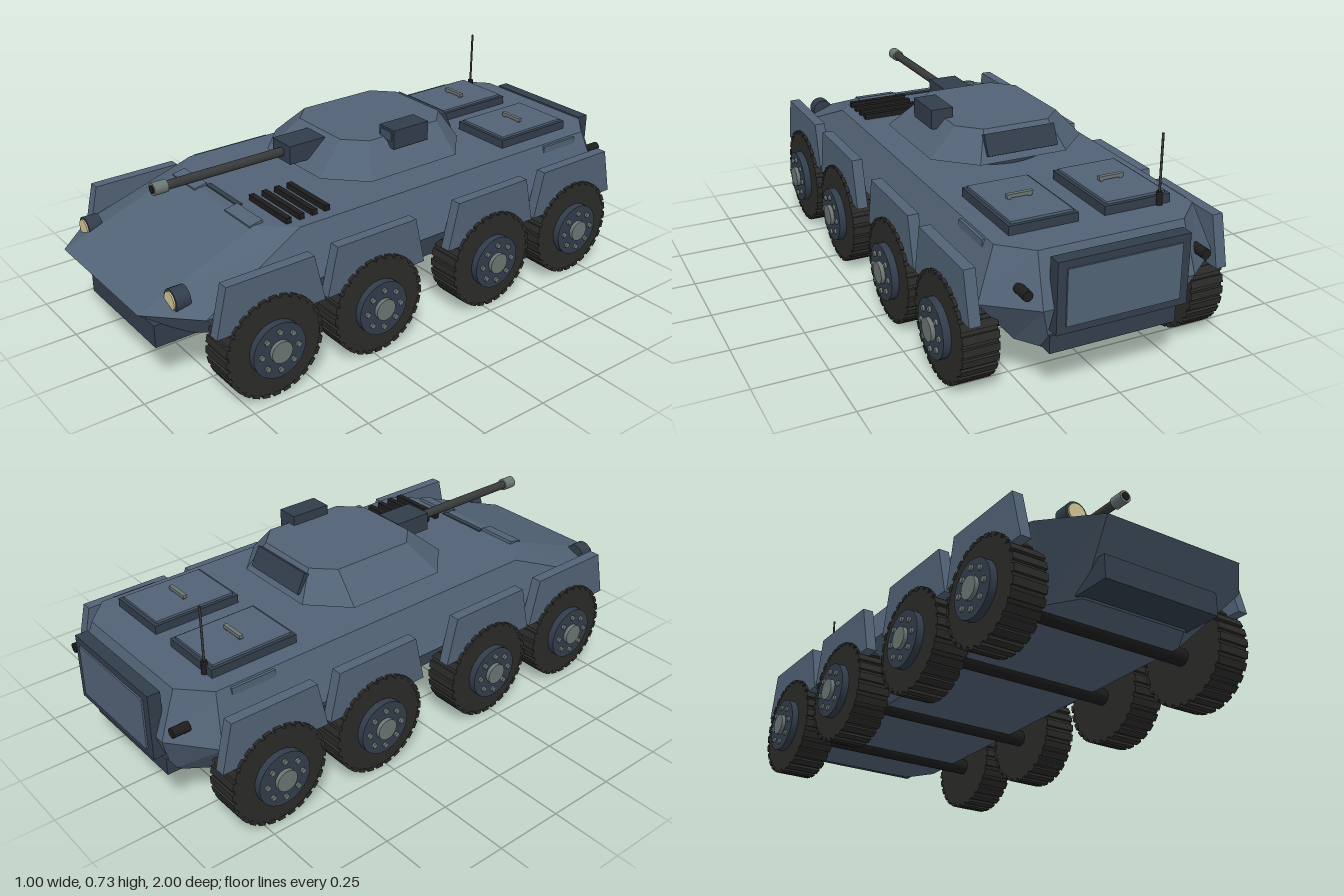
import * as THREE from 'three';

const mat = (name, color) => {
  const m = new THREE.MeshStandardMaterial({ color });
  m.name = name;
  return m;
};

// Eight-sided loop seen from above: half width, front/back ends, width of the ends, chamfer lengths
const octagon = (y, hw, zf, zb, cx, cf, cb) => [
  [hw, y, zf - cf], [hw, y, zb + cb], [cx, y, zb], [-cx, y, zb],
  [-hw, y, zb + cb], [-hw, y, zf - cf], [-cx, y, zf], [cx, y, zf],
];

// Faceted solid through a stack of loops, lowest first
function loft(loops) {
  const pos = [];
  const tri = (...pts) => pts.forEach((p) => pos.push(...p));
  const n = loops[0].length;
  for (let k = 0; k < loops.length - 1; k++) {
    const a = loops[k], b = loops[k + 1];
    for (let i = 0; i < n; i++) {
      const j = (i + 1) % n;
      tri(a[i], a[j], b[j]);
      tri(a[i], b[j], b[i]);
    }
  }
  const low = loops[0], top = loops[loops.length - 1];
  for (let i = 1; i < n - 1; i++) {
    tri(top[0], top[i], top[i + 1]);
    tri(low[0], low[i + 1], low[i]);
  }
  const g = new THREE.BufferGeometry();
  g.setAttribute('position', new THREE.Float32BufferAttribute(pos, 3));
  g.computeVertexNormals();
  return g;
}

export function createModel() {
  const armour = mat('armour blue grey', 0x526376);
  const dark = mat('dark blue grey', 0x323d4b);
  const rubber = mat('tyre rubber', 0x2b2b2a);
  const black = mat('black metal', 0x1d1d1e);
  const gun = mat('gun metal', 0x38393a);
  const steel = mat('steel', 0x6c7674);
  const lens = mat('lamp glass', 0xd2c795);
  const glass = mat('sight glass', 0x3f5266);

  const root = new THREE.Group();
  root.name = 'armouredCarrier';
  const add = (parent, name, geo, material, x = 0, y = 0, z = 0) => {
    const m = new THREE.Mesh(geo, material);
    m.name = name;
    m.position.set(x, y, z);
    parent.add(m);
    return m;
  };
  const box = (parent, name, material, w, h, d, x, y, z) =>
    add(parent, name, new THREE.BoxGeometry(w, h, d), material, x, y, z);
  const cylX = (r, len, n = 24) => new THREE.CylinderGeometry(r, r, len, n).rotateZ(-Math.PI / 2);
  const cylZ = (r, len, n = 20) => new THREE.CylinderGeometry(r, r, len, n).rotateX(Math.PI / 2);

  // Hull
  add(root, 'hull', loft([
    octagon(0.16, 0.27, 0.80, -0.92, 0.2, 0.1, 0.1),
    octagon(0.33, 0.41, 1.0, -0.98, 0.26, 0.15, 0.12),
    octagon(0.495, 0.345, 0.57, -0.92, 0.25, 0.11, 0.09),
  ]), armour);
  box(root, 'frontBumper', dark, 0.44, 0.08, 0.14, 0, 0.205, 0.86);
  box(root, 'rearBumper', dark, 0.44, 0.06, 0.06, 0, 0.195, -0.92);

  // Rear ramp
  box(root, 'rampFrame', dark, 0.45, 0.235, 0.045, 0, 0.367, -0.972);
  box(root, 'rampPanel', armour, 0.39, 0.185, 0.006, 0, 0.367, -0.997);

  // Wheels
  const lugs = 28;
  function wheel(s, z) {
    const w = new THREE.Group();
    w.name = 'wheel';
    w.position.set(s * 0.4, 0.18, z);
    add(w, 'tyre', cylX(0.172, 0.12, 36), rubber);
    for (let i = 0; i < lugs; i++) {
      const a = (i / lugs) * Math.PI * 2;
      const lug = box(w, 'treadLug', rubber, 0.122, 0.014, 0.026, 0, Math.cos(a) * 0.173, Math.sin(a) * 0.173);
      lug.rotation.x = a;
    }
    add(w, 'rim', cylX(0.097, 0.03), dark, s * 0.07);
    add(w, 'hubCap', cylX(0.038, 0.02), steel, s * 0.089);
    for (let i = 0; i < 8; i++) {
      const a = (i / 8) * Math.PI * 2;
      add(w, 'wheelBolt', cylX(0.01, 0.01, 6), steel, s * 0.088, Math.cos(a) * 0.068, Math.sin(a) * 0.068);
    }
    root.add(w);
  }

  // Trapezoid side guard above each wheel
  const guard = new THREE.Shape([[-0.2, 0.275], [0.2, 0.275], [0.16, 0.445], [-0.16, 0.445]]
    .map(([u, v]) => new THREE.Vector2(u, v)));
  const guardGeo = new THREE.ExtrudeGeometry(guard, { depth: 0.038, bevelEnabled: false })
    .rotateY(-Math.PI / 2).translate(0.019, 0, 0);

  for (const z of [0.64, 0.23, -0.28, -0.69]) {
    add(root, 'axle', cylX(0.03, 0.7, 16), black, 0, 0.167, z);
    for (const s of [1, -1]) {
      wheel(s, z);
      add(root, 'wheelGuard', guardGeo, armour, s * 0.431, 0, z);
    }
  }

  for (const s of [1, -1]) {
    // Head lamps, tail lamps and vision blocks
    add(root, 'headLampHousing', cylZ(0.039, 0.05), dark, s * 0.297, 0.365, 0.88);
    add(root, 'headLampLens', cylZ(0.031, 0.006), lens, s * 0.297, 0.365, 0.907);
    add(root, 'tailLamp', cylZ(0.017, 0.06, 12), black, s * 0.305, 0.385, -0.94);
    const visor = box(root, 'frontVisor', armour, 0.15, 0.018, 0.05, s * 0.172, 0.492, 0.56);
    visor.rotation.x = 0.2;
    box(root, 'sideVisionBlock', armour, 0.02, 0.025, 0.16, s * 0.347, 0.477, -0.7);

    // Roof hatches
    box(root, 'hatchFrame', dark, 0.235, 0.03, 0.32, s * 0.163, 0.51, -0.64);
    box(root, 'hatchLid', armour, 0.21, 0.008, 0.295, s * 0.163, 0.529, -0.64);
    box(root, 'hatchHandle', steel, 0.09, 0.012, 0.014, s * 0.163, 0.544, -0.64);
    for (const t of [-0.035, 0.035]) {
      box(root, 'handlePost', steel, 0.01, 0.012, 0.01, s * 0.163 + t, 0.537, -0.64);
    }
  }

  // Engine vents and driver's hatch seam
  for (let i = 0; i < 4; i++) {
    box(root, 'ventSlat', black, 0.22, 0.02, 0.02, 0.195, 0.506, 0.325 + i * 0.05);
  }
  box(root, 'deckSeam', dark, 0.2, 0.006, 0.02, 0, 0.496, 0.53);

  // Antenna
  add(root, 'antennaBase', new THREE.CylinderGeometry(0.01, 0.012, 0.05, 10), black, -0.24, 0.515, -0.8);
  add(root, 'antenna', new THREE.CylinderGeometry(0.004, 0.004, 0.235, 8), gun, -0.24, 0.6125, -0.8);

  // Turret
  const turret = new THREE.Group();
  turret.name = 'turret';
  root.add(turret);
  add(turret, 'turretRing', new THREE.CylinderGeometry(0.205, 0.205, 0.05, 32), dark, 0, 0.515, -0.095);
  add(turret, 'turretShell', loft([
    octagon(0.535, 0.285, 0.25, -0.365, 0.16, 0.12, 0.12),
    octagon(0.635, 0.19, 0.135, -0.305, 0.12, 0.07, 0.07),
  ]), armour);
  const rack = box(turret, 'rearRack', dark, 0.26, 0.075, 0.025, 0, 0.588, -0.335);
  rack.rotation.x = 0.45;

  // Gun
  box(turret, 'mantlet', dark, 0.104, 0.066, 0.145, 0, 0.592, 0.223);
  add(turret, 'barrel', cylZ(0.016, 0.46), gun, 0, 0.59, 0.52);
  add(turret, 'muzzle', cylZ(0.022, 0.05), steel, 0, 0.59, 0.765);
  add(turret, 'bore', cylZ(0.014, 0.004), black, 0, 0.59, 0.791);

  // Sight
  box(turret, 'sightHousing', dark, 0.08, 0.068, 0.15, 0.2, 0.636, -0.078);
  box(turret, 'sightWindow', glass, 0.056, 0.034, 0.006, 0.2, 0.645, -0.002);

  return root;
}
